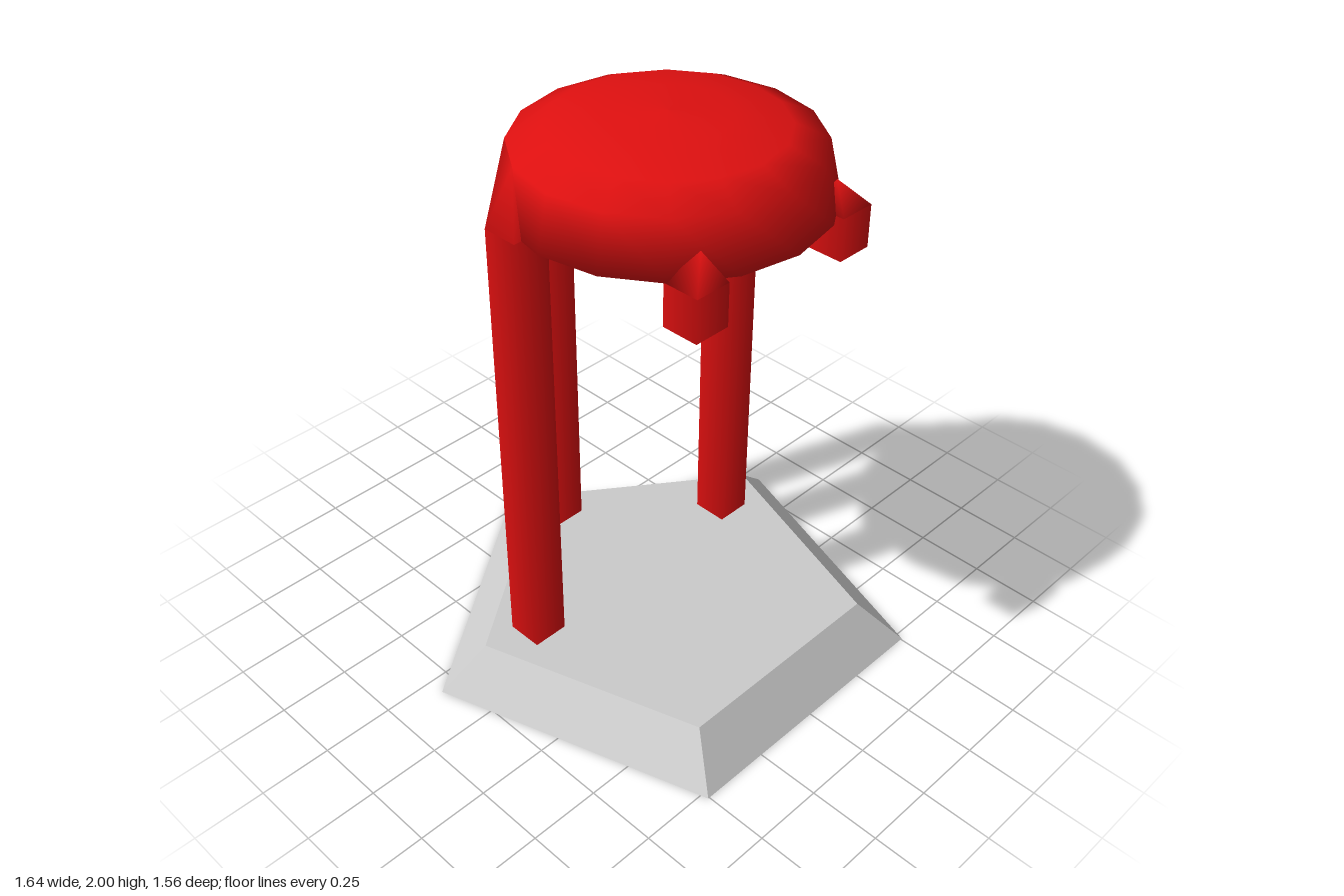
import * as THREE from 'three';
import { ConvexGeometry } from 'three/addons/geometries/ConvexGeometry.js';
import { mergeVertices } from 'three/addons/utils/BufferGeometryUtils.js';

const CZ = 0.08;      // z of the dome and plinth axis
const RIM_Y = 1.73;   // underside of the dome
const HALF = 0.064;   // half the width of a post

// Point on the dome: height, radius and angle (in sixteenths of a turn from the front)
function domePoint(y, r, step) {
  const a = step * Math.PI / 8;
  return new THREE.Vector3(r * Math.sin(a), y, CZ + r * Math.cos(a));
}

function smoothHull(points) {
  const g = new ConvexGeometry(points);
  g.deleteAttribute('normal');
  const merged = mergeVertices(g, 1e-4);
  merged.computeVertexNormals();
  return merged;
}

export function createModel() {
  const model = new THREE.Group();
  model.name = 'pavilion';
  const grey = new THREE.MeshStandardMaterial({ color: 0xcccccc, flatShading: true });
  const red = new THREE.MeshStandardMaterial({ color: 0xe01010 });

  const add = (name, geometry, material) => {
    const mesh = new THREE.Mesh(geometry, material);
    mesh.name = name;
    model.add(mesh);
    return mesh;
  };

  // Five-sided tapered plinth with one corner at the back
  const plinth = add('plinth', new THREE.CylinderGeometry(0.69, 0.86, 0.145, 5, 1, false, Math.PI), grey);
  plinth.position.set(0, 0.0725, CZ);

  // Shallow dome with a hollow underside
  const profile = [
    [0, 1.9], [0.34, 1.87], [0.37, RIM_Y], [0.52, RIM_Y], [0.48, 1.91],
    [0.37, 1.96], [0.2, 1.99], [0, 2],
  ].map(([r, y]) => new THREE.Vector2(r, y));
  const dome = add('dome', new THREE.LatheGeometry(profile, 16), red);
  dome.position.z = CZ;

  // Square posts and short front stubs, each blended into the dome by a bracket
  const peak = (x, z) => [new THREE.Vector3(x, 1.82, z)];
  const supports = [
    { name: 'backPost', x: 0, z: -0.487, foot: 0.145,
      joins: [domePoint(1.91, 0.48, 8), domePoint(1.91, 0.48, 7), domePoint(RIM_Y, 0.52, 7)] },
    { name: 'rightPost', x: -0.466, z: -0.074, foot: 0.145,
      joins: [domePoint(1.91, 0.48, 11), domePoint(1.91, 0.48, 10), domePoint(RIM_Y, 0.52, 10)] },
    { name: 'leftPost', x: 0.466, z: -0.074, foot: 0.145, joins: peak(0.477, -0.07) },
    { name: 'leftStub', x: 0.31, z: 0.495, foot: 1.585, joins: peak(0.29, 0.49) },
    { name: 'rightStub', x: -0.31, z: 0.495, foot: 1.585, joins: peak(-0.29, 0.49) },
  ];
  for (const { name, x, z, foot, joins } of supports) {
    const h = RIM_Y - foot;
    const r = HALF * Math.SQRT2;
    const post = add(name, new THREE.CylinderGeometry(r, r, h, 4, 1, false, Math.PI / 4), red);
    post.position.set(x, foot + h / 2, z);
    const corners = [[-1, -1], [1, -1], [1, 1], [-1, 1]]
      .map(([sx, sz]) => new THREE.Vector3(x + sx * HALF, RIM_Y, z + sz * HALF));
    add(name + 'Bracket', smoothHull([...corners, ...joins]), red);
  }
  return model;
}
